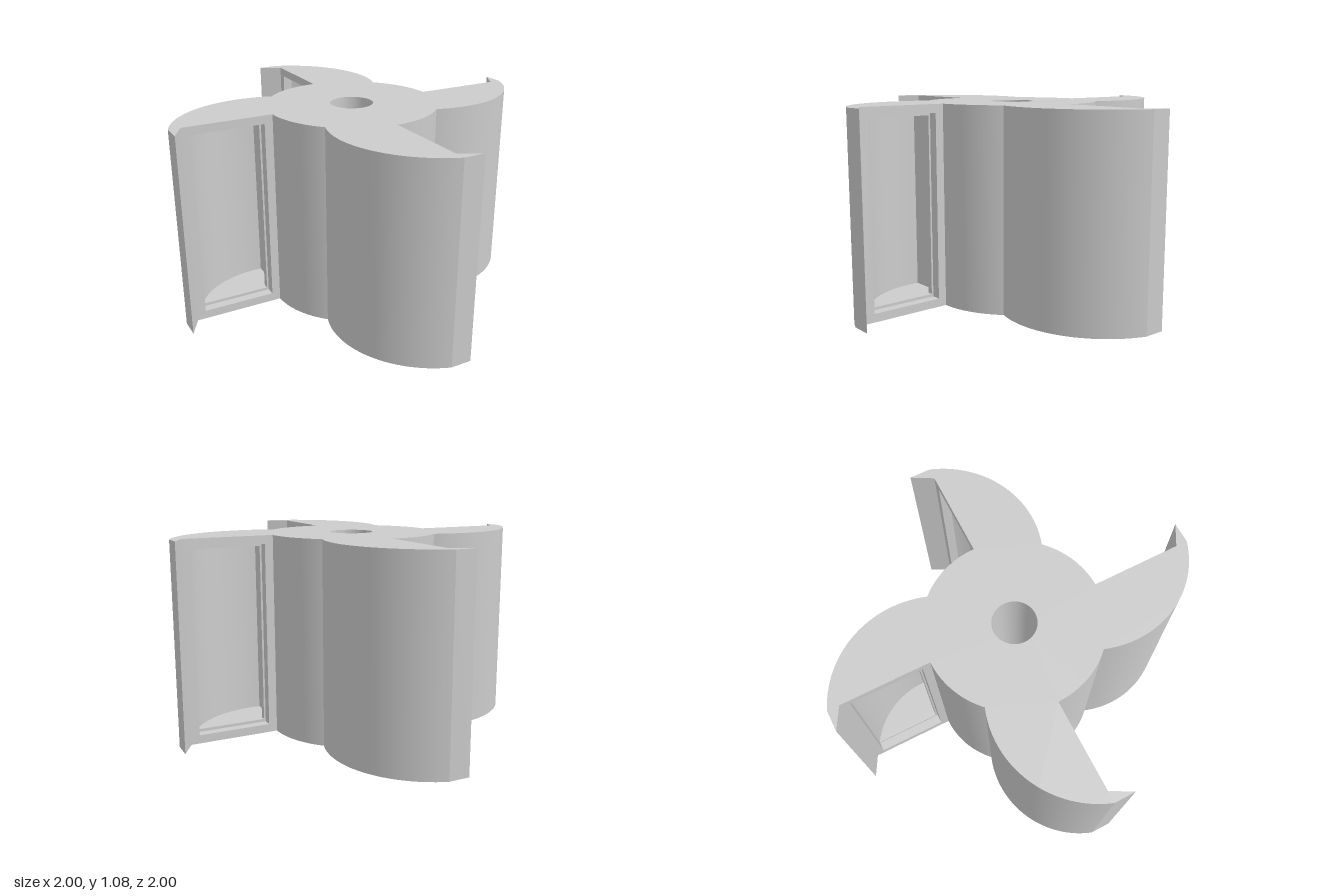
import * as THREE from 'three';
import { toCreasedNormals } from 'three/addons/utils/BufferGeometryUtils.js';

const H = 1.075, HUB = 0.46, BORE = 0.115;
const material = new THREE.MeshStandardMaterial({ color: 0xcccccc, side: THREE.DoubleSide });

// Plan points are [x, z]
const arc = (cx, cz, r, a0, a1, n = 28) =>
  Array.from({ length: n + 1 }, (_, i) => {
    const a = a0 + (a1 - a0) * i / n;
    return [cx + r * Math.cos(a), cz + r * Math.sin(a)];
  });
const vectors = pts => pts.map(([x, y]) => new THREE.Vector2(x, y));
const rect = (x0, y0, x1, y1) => [[x0, y0], [x1, y0], [x1, y1], [x0, y1]];

// Upright wall that follows a plan line
function wall(pts, y0, y1) {
  const pos = [], idx = [];
  pts.forEach(([x, z], i) => {
    pos.push(x, y0, z, x, y1, z);
    if (i) idx.push(2 * i - 2, 2 * i - 1, 2 * i + 1, 2 * i - 2, 2 * i + 1, 2 * i);
  });
  const g = new THREE.BufferGeometry();
  g.setAttribute('position', new THREE.Float32BufferAttribute(pos, 3));
  g.setIndex(idx);
  return toCreasedNormals(g, 0.25);
}

// Flat sheet with optional hole, facing +z, or -z when flipped
function sheet(pts, hole, flip) {
  const shape = new THREE.Shape(vectors(pts));
  if (hole) shape.holes.push(new THREE.Path(vectors(hole)));
  const g = new THREE.ShapeGeometry(shape);
  if (flip) {
    g.index.array.reverse();
    g.computeVertexNormals();
  }
  return g;
}
const level = (pts, y, up, hole) =>
  sheet(pts, hole, up).rotateX(Math.PI / 2).translate(0, y, 0);

function add(group, name, geometry) {
  const mesh = new THREE.Mesh(geometry, material);
  mesh.name = name;
  group.add(mesh);
}

export function createModel() {
  const rotor = new THREE.Group();
  rotor.name = 'rotor';

  // Outline of one quarter: hooked tip, curved back, hub
  const cx = 0.5, cz = -0.175;
  const quarter = [
    [HUB, 0], [0.938, 0], [1, -0.112],
    ...arc(cx, cz, 0.53, Math.atan2(0.175, 0.5), Math.atan2(0.5, -0.175)),
    ...arc(0, 0, HUB, Math.PI / 4, Math.PI / 2).slice(1),
  ];

  // End caps with the shaft bore
  const outline = [];
  let turned = quarter;
  for (let i = 0; i < 4; i++) {
    outline.push(...turned.slice(0, -1));
    turned = turned.map(([x, z]) => [-z, x]);
  }
  const bore = arc(0, 0, BORE, Math.PI * 2, 0, 48);
  add(rotor, 'topCap', level(outline, H, true, bore.slice(0, -1)));
  add(rotor, 'bottomCap', level(outline, 0, false, bore.slice(0, -1)));
  add(rotor, 'shaftBore', wall(bore, 0, H));

  // Pocket: a rebate at the mouth, a thin lip, then a hollow parallel to the blade back
  const x0 = 0.505, x1 = 0.892, x2 = 0.515;
  const lo = 0.045, hi = 1.03, lo2 = 0.06, hi2 = 1.015;
  const r = 0.453, lipBack = 0.085;
  const depth = cz + Math.sqrt(r * r - (x1 - cx) ** 2);
  const angleAtX = x => Math.acos((x - cx) / r);
  const rebate = rect(x0, 0, x1, depth);
  const hollow = [
    [x2, depth], [x2, lipBack], [HUB, lipBack],
    ...arc(cx, cz, r, angleAtX(HUB), angleAtX(x1)),
  ];
  // Ledge runs round three sides of the mouth
  const ledge = [
    [x1, lo], [x0, lo], [x0, hi], [x1, hi],
    [x1, hi2], [x2, hi2], [x2, lo2], [x1, lo2],
  ];

  for (let i = 0; i < 4; i++) {
    const blade = new THREE.Group();
    blade.name = 'blade' + (i + 1);
    blade.rotation.y = -i * Math.PI / 2;
    add(blade, 'bladeBack', wall(quarter.slice(1), 0, H));
    add(blade, 'bladeFace', sheet(rect(HUB, 0, 0.938, H), rect(x0, lo, x1, hi), true));
    add(blade, 'rebateHubSide', wall([[x0, 0], [x0, depth]], lo, hi));
    add(blade, 'rebateTipSide', wall([[x1, depth], [x1, 0]], lo, hi));
    add(blade, 'rebateTop', level(rebate, hi, false));
    add(blade, 'rebateFloor', level(rebate, lo, true));
    add(blade, 'rebateLedge', sheet(ledge, null, true).translate(0, 0, depth));
    add(blade, 'pocketWall', wall(hollow, lo2, hi2));
    add(blade, 'pocketTop', level(hollow, hi2, false));
    add(blade, 'pocketFloor', level(hollow, lo2, true));
    rotor.add(blade);
  }
  return rotor;
}
